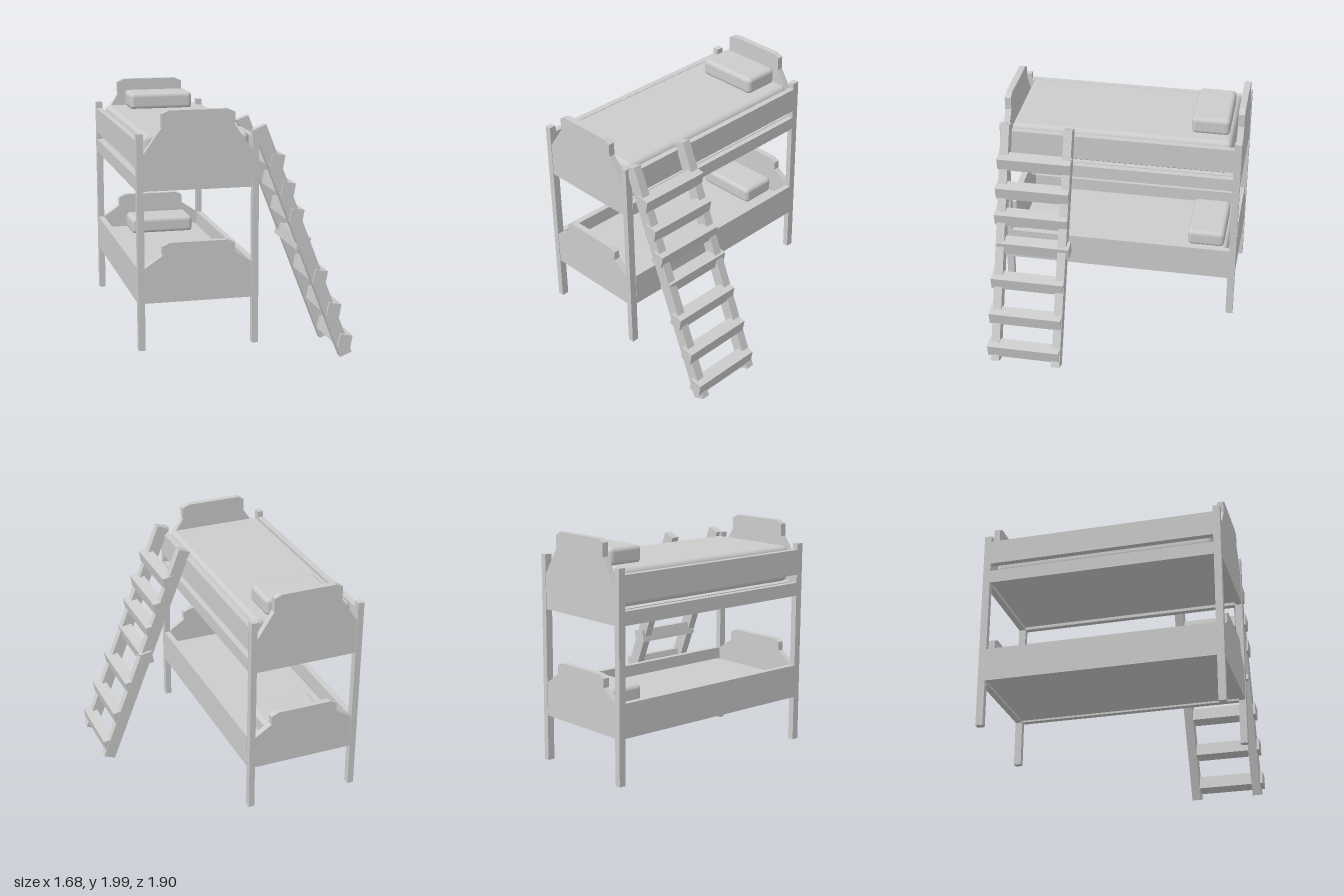
import * as THREE from 'three';
import { RoundedBoxGeometry } from 'three/addons/geometries/RoundedBoxGeometry.js';

const wood = new THREE.MeshStandardMaterial({ color: 0xcccccc, flatShading: true });
const cloth = new THREE.MeshStandardMaterial({ color: 0xcccccc });
const MID = -0.38; // centre line of the bed in x

export function createModel() {
  const root = new THREE.Group();

  const add = (name, geometry, material = wood) => {
    const mesh = new THREE.Mesh(geometry, material);
    mesh.name = name;
    root.add(mesh);
    return mesh;
  };
  // Box given by its two extreme corners
  const box = (name, x0, x1, y0, y1, z0, z1) => {
    const m = add(name, new THREE.BoxGeometry(x1 - x0, y1 - y0, z1 - z0));
    m.position.set((x0 + x1) / 2, (y0 + y1) / 2, (z0 + z1) / 2);
    return m;
  };
  const cushion = (name, x0, x1, y0, y1, z0, z1, r) => {
    const m = add(name, new RoundedBoxGeometry(x1 - x0, y1 - y0, z1 - z0, 4, r), cloth);
    m.position.set((x0 + x1) / 2, (y0 + y1) / 2, (z0 + z1) / 2);
    return m;
  };

  // Corner posts
  for (const [x0, x1] of [[-0.84, -0.79], [0.027, 0.074]]) {
    box('frontPost', x0, x1, 0.19, 1.81, 0.895, 0.952);
    box('backPost', x0, x1, 0.19, 1.81, -0.952, -0.895);
  }

  // Shaped end boards: sloped shoulders, a step, then a chamfered crown
  const endBoard = (name, bottom, side, shoulder, top, z0) => {
    const half = [[0.41, bottom], [0.41, side], [0.275, shoulder], [0.275, top - 0.025], [0.22, top]];
    const points = [
      ...half.map(([x, y]) => new THREE.Vector2(MID + x, y)),
      ...half.reverse().map(([x, y]) => new THREE.Vector2(MID - x, y)),
    ];
    const g = new THREE.ExtrudeGeometry(new THREE.Shape(points), { depth: 0.05, bevelEnabled: false });
    add(name, g).position.z = z0;
  };
  endBoard('upperFootboard', 1.39, 1.66, 1.85, 1.975, 0.898);
  endBoard('upperHeadboard', 1.39, 1.66, 1.87, 2.0, -0.948);
  endBoard('lowerFootboard', 0.55, 0.815, 0.905, 1.0, 0.898);
  endBoard('lowerHeadboard', 0.55, 0.815, 0.905, 1.0, -0.948);

  // Long side rails on both sides
  for (const [x0, x1] of [[-0.84, -0.79], [0.03, 0.077]]) {
    box('upperGuardRail', x0, x1, 1.56, 1.76, -0.897, 0.897);
    box('upperSideRail', x0, x1, 1.39, 1.495, -0.897, 0.897);
    box('lowerSideRail', x0, x1, 0.55, 0.815, -0.897, 0.897);
  }

  // Bed bases
  box('upperBase', -0.79, 0.03, 1.415, 1.5, -0.897, 0.897);
  box('lowerBase', -0.79, 0.03, 0.565, 0.61, -0.897, 0.897);

  // Mattresses and pillows
  cushion('upperMattress', -0.775, 0.025, 1.505, 1.79, -0.87, 0.87, 0.045);
  cushion('lowerMattress', -0.775, 0.025, 0.605, 0.735, -0.87, 0.87, 0.04);
  cushion('upperPillow', -0.61, -0.09, 1.78, 1.918, -0.84, -0.54, 0.035);
  cushion('lowerPillow', -0.61, -0.09, 0.725, 0.86, -0.84, -0.54, 0.035);

  // Ladder stringers, leaning against the side of the bed
  for (const z of [0.39, 0.89]) {
    const stringer = add('ladderStringer', new THREE.BoxGeometry(0.098, 1.934, 0.068));
    stringer.position.set(0.44, 0.927, z);
    stringer.rotation.z = 0.371;
  }

  // Ladder rungs: [x, y, z]
  const rungs = [
    [0.222, 1.57, 0.643], [0.305, 1.353, 0.646], [0.375, 1.15, 0.647], [0.437, 0.925, 0.625],
    [0.566, 0.665, 0.652], [0.68, 0.397, 0.653], [0.775, 0.14, 0.655],
  ];
  for (const [x, y, z] of rungs) {
    const rung = add('ladderRung', new THREE.BoxGeometry(0.1, 0.104, 0.585));
    rung.position.set(x, y, z);
    rung.rotation.z = -0.18;
  }
  return root;
}
